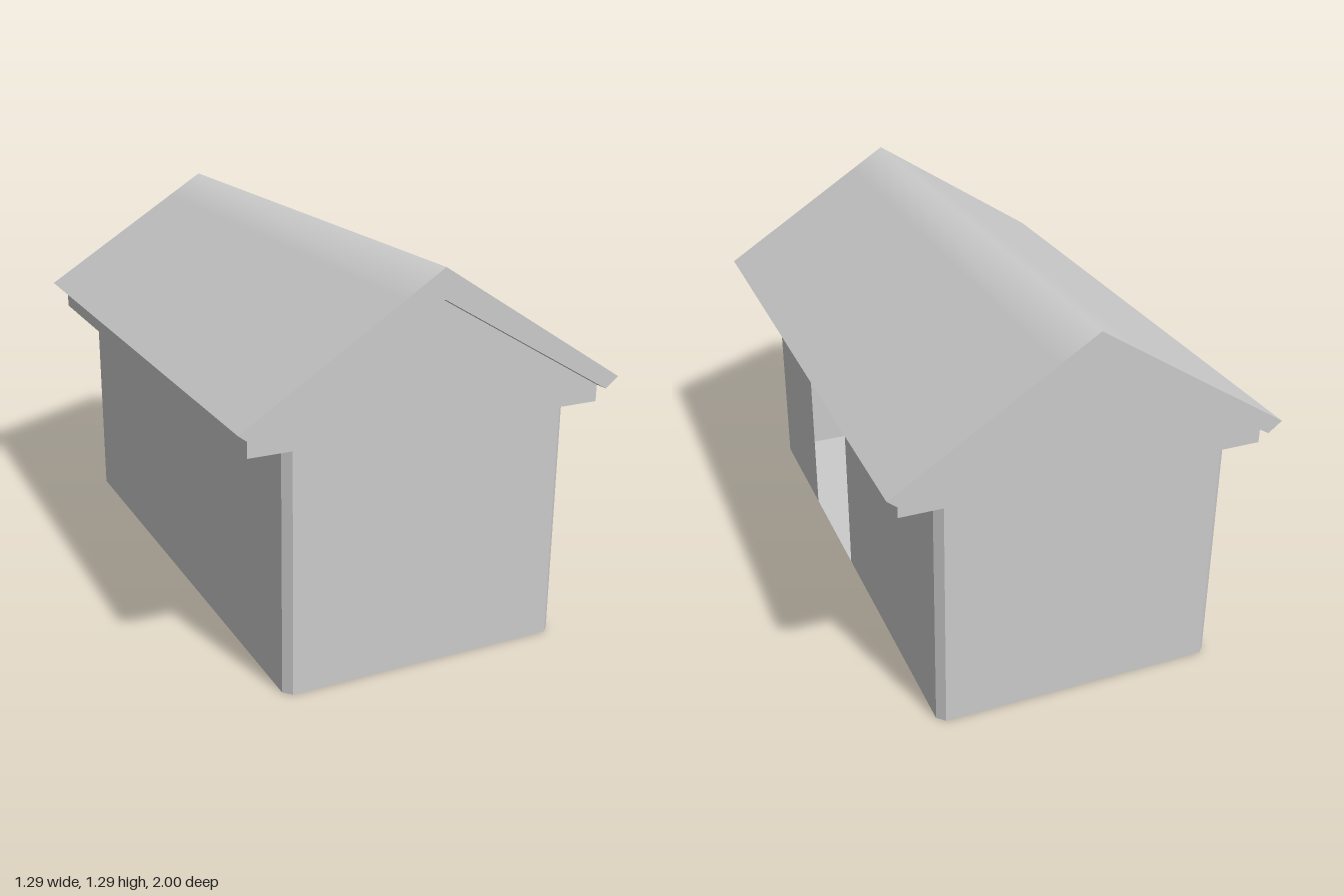
import * as THREE from 'three';

const material = new THREE.MeshStandardMaterial({ color: 0xcccccc, side: THREE.DoubleSide });

// Main dimensions
const WALL_X = 0.485, WALL_Z = 0.955, CHAMFER = 0.025;
const EAVE_X = 0.6, SOFFIT_Y = 0.79, EAVE_Y = 0.845, GABLE_Y = 1.195;
const ROOF_X = 0.645, ROOF_EDGE_Y = 0.88, RIDGE_Y = 1.29, ROOF_Z = 1;

const flatShape = (points) =>
  new THREE.ShapeGeometry(new THREE.Shape(points.map(([x, y]) => new THREE.Vector2(x, y))));

// Sweeps an open xy profile along z; each segment keeps its own flat normal
function sweep(profile, halfLength) {
  const pos = [];
  for (let i = 0; i < profile.length - 1; i++) {
    const [ax, ay] = profile[i], [bx, by] = profile[i + 1];
    pos.push(ax, ay, halfLength, ax, ay, -halfLength, bx, by, -halfLength);
    pos.push(ax, ay, halfLength, bx, by, -halfLength, bx, by, halfLength);
  }
  const geo = new THREE.BufferGeometry();
  geo.setAttribute('position', new THREE.Float32BufferAttribute(pos, 3));
  geo.computeVertexNormals();
  return geo;
}

// Two roof slopes whose shading softens near the ridge
function roofSlopes() {
  const columns = [-ROOF_X, -0.13, 0, 0.13, ROOF_X];
  const slope = (RIDGE_Y - ROOF_EDGE_Y) / ROOF_X;
  const geo = new THREE.PlaneGeometry(2, 2 * ROOF_Z, columns.length - 1, 1).rotateX(-Math.PI / 2);
  const { position, normal } = geo.attributes;
  const n = new THREE.Vector3();
  for (let i = 0; i < position.count; i++) {
    const x = columns[i % columns.length];
    position.setX(i, x);
    position.setY(i, RIDGE_Y - slope * Math.abs(x));
    n.set(Math.sign(x) * slope, 1, 0).normalize();
    normal.setXYZ(i, n.x, n.y, n.z);
  }
  return geo;
}

export function createModel() {
  const model = new THREE.Group();
  model.name = 'shed';
  const add = (name, geo) => {
    const mesh = new THREE.Mesh(geo, material);
    mesh.name = name;
    model.add(mesh);
    return mesh;
  };
  const cx = WALL_X - CHAMFER, cz = WALL_Z - CHAMFER;

  // Gable ends, with the boxed eaves in the same plane
  const gable = [[-cx, 0], [cx, 0], [cx, SOFFIT_Y], [EAVE_X, SOFFIT_Y], [EAVE_X, EAVE_Y],
    [0, GABLE_Y], [-EAVE_X, EAVE_Y], [-EAVE_X, SOFFIT_Y], [-cx, SOFFIT_Y]];
  add('frontGable', flatShape(gable).translate(0, 0, WALL_Z));
  add('backGable', flatShape(gable).rotateY(Math.PI).translate(0, 0, -WALL_Z));

  // Side walls; the left one has an open doorway
  const doorWall = [[-cz, 0], [-0.465, 0], [-0.465, 0.655], [0, 0.655], [0, 0],
    [cz, 0], [cz, SOFFIT_Y], [-cz, SOFFIT_Y]];
  const plainWall = [[-cz, 0], [cz, 0], [cz, SOFFIT_Y], [-cz, SOFFIT_Y]];
  add('leftWallWithDoorway', flatShape(doorWall).rotateY(Math.PI / 2).translate(WALL_X, 0, 0));
  add('rightWall', flatShape(plainWall).rotateY(-Math.PI / 2).translate(-WALL_X, 0, 0));

  // Chamfered corners
  for (const sx of [1, -1]) {
    for (const sz of [1, -1]) {
      const corner = new THREE.PlaneGeometry(CHAMFER * Math.SQRT2, SOFFIT_Y)
        .rotateY(Math.atan2(sx, sz))
        .translate(sx * (WALL_X - CHAMFER / 2), SOFFIT_Y / 2, sz * (WALL_Z - CHAMFER / 2));
      add('cornerChamfer', corner);
    }
  }

  // Floor
  const floor = [[cx, -WALL_Z], [WALL_X, -cz], [WALL_X, cz], [cx, WALL_Z],
    [-cx, WALL_Z], [-WALL_X, cz], [-WALL_X, -cz], [-cx, -WALL_Z]];
  add('floor', flatShape(floor).rotateX(Math.PI / 2));

  // Soffit and fascia under each eave
  const soffit = [[cx, -WALL_Z], [EAVE_X, -WALL_Z], [EAVE_X, WALL_Z], [cx, WALL_Z], [WALL_X, cz], [WALL_X, -cz]];
  for (const [side, turn] of [['left', 0], ['right', Math.PI]]) {
    add(side + 'Soffit', flatShape(soffit).rotateX(Math.PI / 2).translate(0, SOFFIT_Y, 0).rotateY(turn));
    add(side + 'Fascia', sweep([[EAVE_X, SOFFIT_Y], [EAVE_X, EAVE_Y]], WALL_Z).rotateY(turn));
  }

  // Roof: slopes, edges with underside, and end caps
  const underside = [[-ROOF_X, ROOF_EDGE_Y], [-EAVE_X, EAVE_Y], [0, GABLE_Y], [EAVE_X, EAVE_Y], [ROOF_X, ROOF_EDGE_Y]];
  add('roofSlopes', roofSlopes());
  add('roofUnderside', sweep(underside, ROOF_Z));
  const cap = [...underside, [0, RIDGE_Y]];
  add('frontRoofEnd', flatShape(cap).translate(0, 0, ROOF_Z));
  add('backRoofEnd', flatShape(cap).rotateY(Math.PI).translate(0, 0, -ROOF_Z));

  return model;
}
